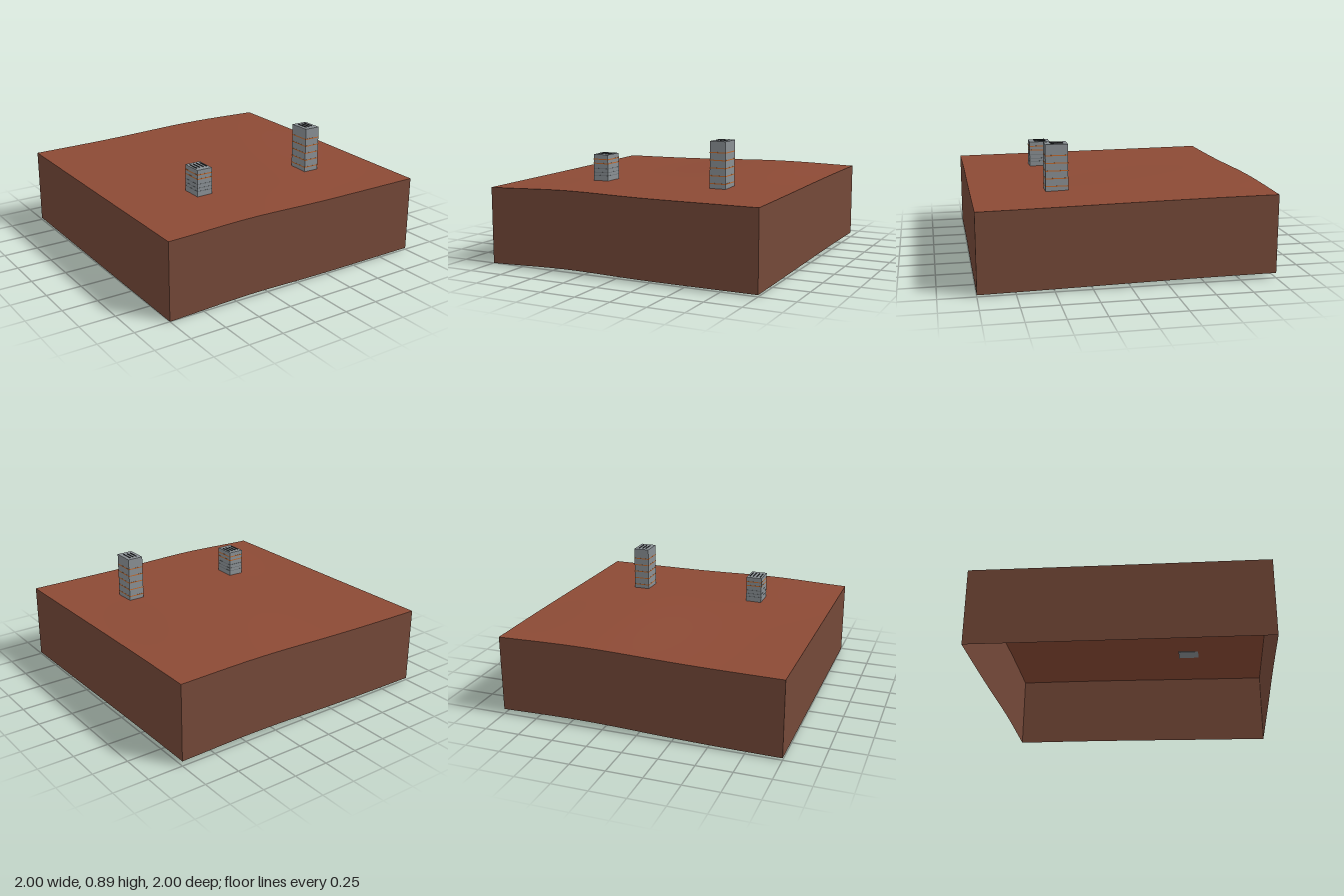
import * as THREE from 'three';

const material = (name, color, side = THREE.FrontSide) => {
  const m = new THREE.MeshStandardMaterial({ color, side });
  m.name = name;
  return m;
};

// Gently rolling ground height
const bump = (x, z, cx, cz, wx, wz, h) =>
  h * Math.exp(-((x - cx) ** 2) / wx - ((z - cz) ** 2) / wz);
const ground = (x, z) =>
  0.5525 + 0.0065 * x - 0.0085 * z +
  bump(x, z, -0.4, 1, 0.2, 0.6, 0.017) +
  bump(x, z, 0.4, -0.5, 0.35, 1, 0.026);

export function createModel() {
  const soil = material('red soil', 0x8c4a35, THREE.DoubleSide);
  const earth = material('brown earth', 0x744838, THREE.DoubleSide);
  const concrete = material('grey concrete', 0x8a9094);
  const seam = material('dark grey seam', 0x6c7276);
  const dark = material('charcoal', 0x3a3d40);
  const orange = material('orange band', 0xc0682c);

  const model = new THREE.Group();
  const add = (parent, name, geometry, mat) => {
    const mesh = new THREE.Mesh(geometry, mat);
    mesh.name = name;
    parent.add(mesh);
    return mesh;
  };

  // Ground surface
  const top = new THREE.PlaneGeometry(2, 2, 32, 32).rotateX(-Math.PI / 2);
  const tp = top.attributes.position;
  for (let i = 0; i < tp.count; i++) tp.setY(i, ground(tp.getX(i), tp.getZ(i)));
  top.computeVertexNormals();
  add(model, 'groundSurface', top, soil);

  // Four side walls following the ground, open underneath
  const depth = ground(-1, 1);
  ['frontWall', 'leftWall', 'backWall', 'rightWall'].forEach((name, side) => {
    const wall = new THREE.PlaneGeometry(2, 2, 32, 1).translate(0, 0, 1).rotateY(side * Math.PI / 2);
    const p = wall.attributes.position;
    for (let i = 0; i < p.count; i++) {
      const y = ground(p.getX(i), p.getZ(i));
      p.setY(i, p.getY(i) > 0 ? y : y - depth);
    }
    wall.computeVertexNormals();
    add(model, name, wall, earth);
  });

  // Towers with thin bands and roof fins
  const W = 0.116, D = 0.155;
  const tower = (name, x, base, roof, orangeBands, greyBands, fins) => {
    const group = new THREE.Group();
    group.name = name;
    group.position.set(x, 0, 0.417);
    model.add(group);
    const h = roof - base;
    add(group, 'towerBody', new THREE.BoxGeometry(W, h, D), concrete).position.y = base + h / 2;
    const band = (label, mat, height) => (y) =>
      add(group, label, new THREE.BoxGeometry(W + 0.002, height, D + 0.002), mat).position.y = y;
    orangeBands.forEach(band('orangeBand', orange, 0.007));
    greyBands.forEach(band('seamBand', seam, 0.004));
    for (let i = 0; i < fins; i++) {
      const fin = add(group, 'roofFin', new THREE.BoxGeometry(0.006, 0.006, 0.085), dark);
      fin.position.set((i - (fins - 1) / 2) * 0.027, roof + 0.002, -0.005);
    }
  };
  tower('tallTower', 0.498, 0.56, 0.882, [0.595, 0.648, 0.701, 0.754, 0.806], [], 3);
  tower('shortTower', -0.418, 0.555, 0.746, [0.682, 0.712], [0.595, 0.618, 0.645], 4);

  return model;
}
